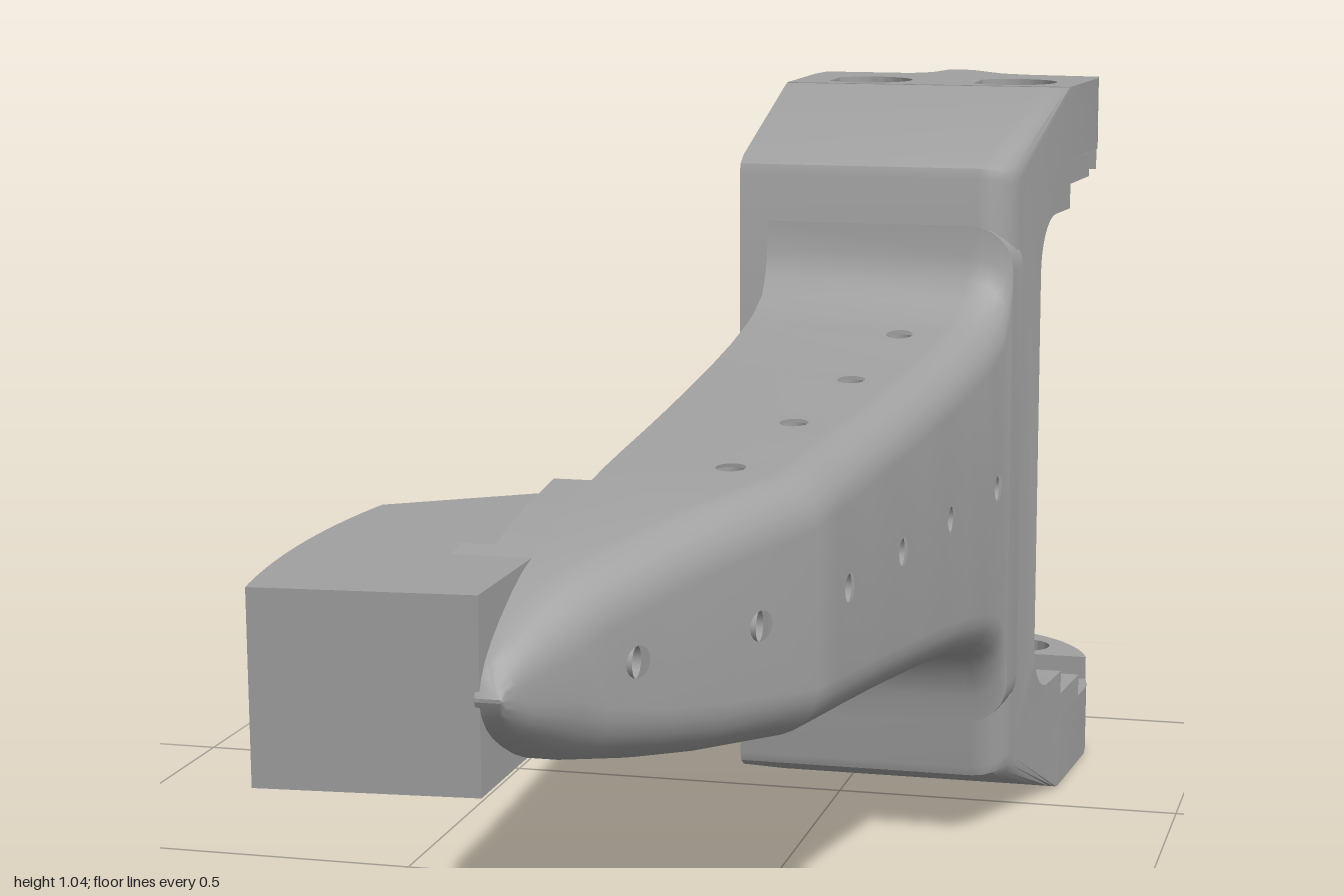
import * as THREE from 'three';
import { mergeGeometries, toCreasedNormals } from 'three/addons/utils/BufferGeometryUtils.js';

const MID = 0.52;      // height of the symmetry plane
const LEFT = -0.065;   // flat side of the beam
const ROUND = 0.06;    // edge radius on the tapered side
const lerp = THREE.MathUtils.lerp;

// Tapered +x side, bending toward the nose
const taper = z => z < 0.505 ? 0.245 - 0.11 * z : lerp(0.19, -0.025, (z - 0.505) / 0.455);

// Beam stations: [z, half height]
const stations = [
  [-0.36, 0.35], [-0.31, 0.35], [-0.306, 0.31], [-0.295, 0.277], [-0.275, 0.251], [-0.225, 0.232],
  [-0.19, 0.224], [-0.1, 0.209], [0, 0.197], [0.1, 0.187], [0.22, 0.176], [0.32, 0.168],
  [0.43, 0.16], [0.505, 0.154], [0.65, 0.138], [0.74, 0.123], [0.83, 0.103], [0.87, 0.088],
  [0.91, 0.069], [0.94, 0.052], [0.96, 0.037], [0.975, 0.02], [0.983, 0.002]
].map(([z, h]) => {
  const x = Math.max(taper(z), LEFT + 0.012);
  return { z, h, x, r: Math.min(ROUND, h * 0.85, (x - LEFT) * 0.8) };
});
const sideHoles = [-0.25, -0.03, 0.18, 0.39, 0.6, 0.79];
const topHoles = [[0.15, -0.165], [0.13, 0.05], [0.105, 0.265], [0.08, 0.48]];
const HOLE = 0.018;

function halfHeight(z) {
  const i = Math.max(1, stations.findIndex(s => s.z >= z));
  const a = stations[i - 1], b = stations[i];
  return lerp(a.h, b.h, (z - a.z) / (b.z - a.z));
}

const polygon = pts => new THREE.Shape(pts.map(p => new THREE.Vector2(...p)));

function circlePath(x, y, r) {
  const p = new THREE.Path();
  p.absarc(x, y, r, 0, Math.PI * 2, true);
  return p;
}

// Flat panel, optionally drilled, mapped from 2D into space
function panel(out, pts, hole, map, flip) {
  const shape = polygon(pts);
  if (hole) shape.holes.push(circlePath(hole[0], hole[1], HOLE));
  const g = new THREE.ShapeGeometry(shape, 8).toNonIndexed();
  const p = g.attributes.position;
  for (let i = 0; i < p.count; i += 3) {
    for (const k of flip ? [0, 2, 1] : [0, 1, 2]) out.push(...map(p.getX(i + k), p.getY(i + k)));
  }
}

function beamGeometry() {
  const out = [], steps = 6;
  for (let i = 0; i + 1 < stations.length; i++) {
    const a = stations[i], b = stations[i + 1];
    const within = z => z > a.z && z < b.z;
    const at = (key, z) => lerp(a[key], b[key], (z - a.z) / (b.z - a.z));
    const top = topHoles.find(h => within(h[1]));
    const side = sideHoles.find(within);
    const sideHole = side === undefined ? null : [side, 0];
    // top and bottom, both drilled
    for (const s of [1, -1]) {
      panel(out, [[a.z, LEFT], [b.z, LEFT], [b.z, b.x - b.r], [a.z, a.x - a.r]],
        top && [top[1], top[0]], (z, x) => [x, MID + s * at('h', z), z], s < 0);
    }
    // flat side and tapered side
    panel(out, [[a.z, -a.h], [b.z, -b.h], [b.z, b.h], [a.z, a.h]], sideHole,
      (z, y) => [LEFT, MID + y, z], false);
    panel(out, [[a.z, a.r - a.h], [b.z, b.r - b.h], [b.z, b.h - b.r], [a.z, a.h - a.r]], sideHole,
      (z, y) => [at('x', z), MID + y, z], true);
    // rounded edges
    for (const s of [1, -1]) for (let k = 0; k < steps; k++) {
      const pt = (q, j) => {
        const t = j / steps * Math.PI / 2;
        return [q.x - q.r + q.r * Math.cos(t), MID + s * (q.h - q.r + q.r * Math.sin(t)), q.z];
      };
      const c = [pt(a, k), pt(a, k + 1), pt(b, k + 1), pt(b, k)];
      for (const j of s > 0 ? [0, 1, 2, 0, 2, 3] : [0, 2, 1, 0, 3, 2]) out.push(...c[j]);
    }
  }
  const g = new THREE.BufferGeometry();
  g.setAttribute('position', new THREE.Float32BufferAttribute(out, 3));
  return toCreasedNormals(g, 0.6);
}

// Side profile (z, y) pushed along x
function sideExtrude(pts, x0, x1, steps = 1) {
  const g = new THREE.ExtrudeGeometry(polygon(pts.map(([z, y]) => [-z, y])), { depth: x1 - x0, steps, bevelEnabled: false });
  return g.rotateY(Math.PI / 2).translate(x0, 0, 0);
}

// Plan shape (x, -z) pushed upward
function planExtrude(shape, y0, y1) {
  const g = new THREE.ExtrudeGeometry(shape, { depth: y1 - y0, bevelEnabled: false, curveSegments: 24 });
  return toCreasedNormals(g.rotateX(-Math.PI / 2).translate(0, y0, 0), 0.5);
}

// C-shaped yoke with a rounded front edge on the tapered side
function forkGeometry() {
  const half = [[-0.31, 0.415], [-0.314, 0.428], [-0.33, 0.438], [-0.59, 0.518], [-0.61, 0.52], [-0.61, 0.345]];
  for (let k = 0; k <= 8; k++) {
    const t = k / 8 * Math.PI / 2;
    half.push([-0.53 + 0.075 * Math.sin(t), 0.27 + 0.075 * Math.cos(t)]);
  }
  const pts = [...half.map(([z, y]) => [z, MID + y]), ...half.map(([z, y]) => [z, MID - y]).reverse()];
  const g = sideExtrude(pts, 0, 1, 6);
  const p = g.attributes.position;
  for (let i = 0; i < p.count; i++) {
    const step = Math.round(p.getX(i) * 6), z = p.getZ(i), dy = p.getY(i) - MID;
    const t = (step - 1) / 5 * Math.PI / 2;
    const inset = step ? 0.05 * (1 - Math.cos(t)) : 0;
    p.setX(i, step ? taper(z) - 0.05 + 0.05 * Math.sin(t) : -0.105);
    if (z > -0.34) p.setZ(i, z - inset);
    if (z > -0.34 && Math.abs(dy) > 0.4) p.setY(i, MID + dy - Math.sign(dy) * inset * 0.4);
  }
  return toCreasedNormals(g, 0.6);
}

// Bolt hole with a point toward -x
function teardrop(x, w, r) {
  const p = new THREE.Path();
  p.moveTo(x - r * 1.25, w);
  p.absarc(x, w, r, Math.PI * 0.8, -Math.PI * 0.8, true);
  p.closePath();
  return p;
}

function mountShapes() {
  const CX = 0.11, CW = 0.785, R = 0.215, N = 0.1;
  const front = [0, 0.215].map(x => [x, 0.68]), back = [0, 0.215].map(x => [x, 0.895]);
  const drill = (shape, list, r) => { list.forEach(([x, w]) => shape.holes.push(teardrop(x, w, r))); return shape; };
  // full disc plate
  const plate = polygon([[-0.105, 0.6], [0.311, 0.6], [0.325, CW]]);
  plate.absarc(CX, CW, R, 0, Math.PI, false);
  // inner pads either side of a cross groove with a round pocket
  const dw = 0.055, notch = Math.asin(dw / N);
  const nearPad = polygon([[-0.105, 0.615], [0.312, 0.615], [0.322, CW - dw]]);
  nearPad.absarc(CX, CW, 0.075, -Math.asin(dw / 0.075), Math.PI + Math.asin(dw / 0.075), true);
  nearPad.lineTo(-0.105, CW - dw);
  const a = Math.asin(dw / R);
  const farPad = new THREE.Shape();
  farPad.absarc(CX, CW, R, a, Math.PI - a, false);
  farPad.absarc(CX, CW, 0.075, Math.PI - Math.asin(dw / 0.075), Math.asin(dw / 0.075), true);
  // raised outer boss with wavy rear edge
  const boss = polygon([[-0.105, 0.6], [0.311, 0.6], [0.325, CW], [0.322, 0.82], [0.21, 0.838], [0.17, 0.855],
    [0.115, 0.922], [0.095, 0.931], [0.075, 0.922], [0.062, 0.865], [0.045, 0.842], [0.02, 0.835], [-0.098, 0.838], [-0.105, CW]]);
  return [
    ['innerPad', drill(nearPad, front, 0.037), 0.38, 0.415],
    ['rearPad', drill(farPad, back, 0.037), 0.38, 0.415],
    ['mountPlate', drill(plate, [...front, ...back], 0.037), 0.415, 0.45],
    ['boltBoss', drill(boss, front, 0.064), 0.45, 0.52]
  ];
}

export function createModel() {
  const group = new THREE.Group();
  const grey = new THREE.MeshStandardMaterial({ color: 0xa0a0a0, side: THREE.DoubleSide });
  grey.name = 'grey';
  const add = (name, geometry) => {
    const mesh = new THREE.Mesh(geometry, grey);
    mesh.name = name;
    group.add(mesh);
  };

  add('beam', beamGeometry());
  add('fork', forkGeometry());

  // bores of the lightening holes
  const bores = sideHoles.map(z => new THREE.CylinderGeometry(HOLE, HOLE, taper(z) - LEFT - 0.004, 16, 1, true)
    .rotateZ(Math.PI / 2).translate((taper(z) + LEFT) / 2, MID, z));
  topHoles.forEach(([x, z]) => bores.push(
    new THREE.CylinderGeometry(HOLE, HOLE, 2 * halfHeight(z) - 0.006, 16, 1, true).translate(x, MID, z)));
  add('holeBores', mergeGeometries(bores));

  // mounting plates, above and below
  for (const s of [1, -1]) for (const [name, shape, d0, d1] of mountShapes()) {
    add((s > 0 ? 'upper ' : 'lower ') + name, planExtrude(shape, s > 0 ? MID + d0 : MID - d1, s > 0 ? MID + d1 : MID - d0));
  }

  // stepped lips holding the end block
  const lip = zs => [...zs.map(z => [z, MID - halfHeight(z)]), ...zs.map(z => [z, MID + halfHeight(z)]).reverse()];
  add('longLip', sideExtrude(lip([0.555, 0.65, 0.74, 0.83]), -0.11, -0.06));
  add('shortLip', sideExtrude(lip([0.77, 0.8, 0.825]), -0.15, -0.06));

  // end block with a curved outer face
  const block = polygon([[-0.06, -0.39], [-0.06, -0.98], [-0.305, -1]]);
  block.quadraticCurveTo(-0.345, -0.78, -0.315, -0.565);
  add('endBlock', planExtrude(block, 0.415, 0.63));

  return group;
}
